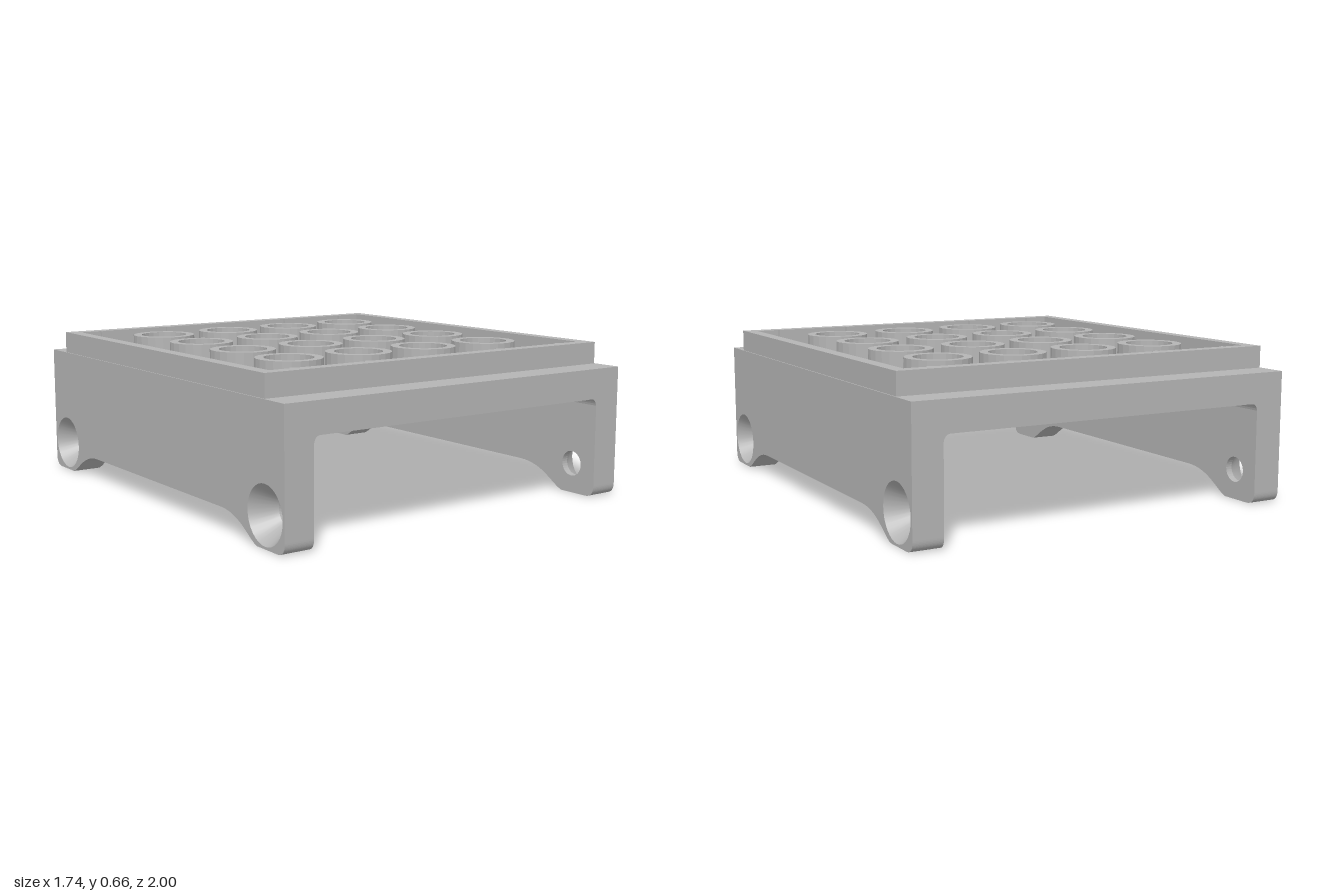
import * as THREE from 'three';

const grey = new THREE.MeshStandardMaterial({ color: 0xb4b4b4, side: THREE.DoubleSide });
grey.name = 'grey plastic';

const SCREW_Z = 0.868, SCREW_Y = 0.13;

function add(parent, name, geometry) {
  const mesh = new THREE.Mesh(geometry, grey);
  mesh.name = name;
  parent.add(mesh);
  return mesh;
}

function extrude(shape, depth, curveSegments = 16) {
  return new THREE.ExtrudeGeometry(shape, { depth, curveSegments, bevelEnabled: false });
}

function circleHole(x, y, r) {
  return new THREE.Path().absarc(x, y, r, 0, Math.PI * 2, true);
}

function rectangle(Kind, w, d) {
  return new Kind([[-w, -d], [w, -d], [w, d], [-w, d]].map(([x, y]) => new THREE.Vector2(x, y)));
}

// Side wall outline with rounded feet and a raised arch between them
function wallShape(holeRadius) {
  const s = new THREE.Shape();
  s.moveTo(-1, 0.565);
  s.lineTo(-1, 0.05);
  s.quadraticCurveTo(-1, 0, -0.95, 0);
  s.lineTo(-0.81, 0);
  s.bezierCurveTo(-0.75, 0.02, -0.69, 0.1, -0.55, 0.1);
  s.lineTo(0.55, 0.1);
  s.bezierCurveTo(0.69, 0.1, 0.75, 0.02, 0.81, 0);
  s.lineTo(0.95, 0);
  s.quadraticCurveTo(1, 0, 1, 0.05);
  s.lineTo(1, 0.565);
  s.closePath();
  for (const z of [-SCREW_Z, SCREW_Z]) s.holes.push(circleHole(z, SCREW_Y, holeRadius));
  return s;
}

// Deck section with small fillets where it meets the walls
function deckShape() {
  const s = new THREE.Shape();
  s.moveTo(-0.74, 0.565);
  s.lineTo(-0.74, 0.405);
  s.quadraticCurveTo(-0.735, 0.435, -0.71, 0.435);
  s.lineTo(0.71, 0.435);
  s.quadraticCurveTo(0.735, 0.435, 0.74, 0.405);
  s.lineTo(0.74, 0.565);
  s.closePath();
  return s;
}

export function createModel() {
  const model = new THREE.Group();
  model.name = 'tray stand';

  add(model, 'deck', extrude(deckShape(), 2, 6).translate(0, 0, -1));

  // Walls: a thin inner layer with small holes, an outer layer with countersinks
  for (const side of [1, -1]) {
    const wall = new THREE.Group();
    wall.name = side > 0 ? 'leftWall' : 'rightWall';
    model.add(wall);
    add(wall, 'wallInner', extrude(wallShape(0.055), 0.03).rotateY(Math.PI / 2)
      .translate(side > 0 ? 0.74 : -0.77, 0, 0));
    add(wall, 'wallOuter', extrude(wallShape(0.12), 0.1).rotateY(Math.PI / 2)
      .translate(side > 0 ? 0.77 : -0.87, 0, 0));
    for (const z of [-SCREW_Z, SCREW_Z]) {
      add(wall, 'countersink', new THREE.CylinderGeometry(0.12, 0.055, 0.1, 32, 1, true)
        .rotateZ(-side * Math.PI / 2).translate(side * 0.82, SCREW_Y, z));
    }
  }

  // Raised rim around the tray
  const rim = rectangle(THREE.Shape, 0.865, 0.865);
  rim.holes.push(rectangle(THREE.Path, 0.81, 0.81));
  add(model, 'rim', extrude(rim, 0.095).rotateX(-Math.PI / 2).translate(0, 0.565, 0));

  // Small ribs inside the front and back of the rim
  for (const z of [-0.805, 0.805]) {
    for (const x of [-0.7, -0.35, 0.345, 0.695]) {
      add(model, 'rib', new THREE.BoxGeometry(0.022, 0.095, 0.012)).position.set(x, 0.6125, z);
    }
  }

  // Four by four grid of ring sockets
  const ring = new THREE.Shape().absarc(0, 0, 0.14, 0, Math.PI * 2);
  ring.holes.push(circleHole(0, 0, 0.103));
  const ringGeometry = extrude(ring, 0.093, 12).rotateX(-Math.PI / 2);
  for (let i = 0; i < 4; i++) {
    for (let j = 0; j < 4; j++) {
      add(model, 'socket', ringGeometry)
        .position.set(-0.525 + i * 0.348, 0.565, -0.525 + j * 0.348);
    }
  }

  return model;
}
